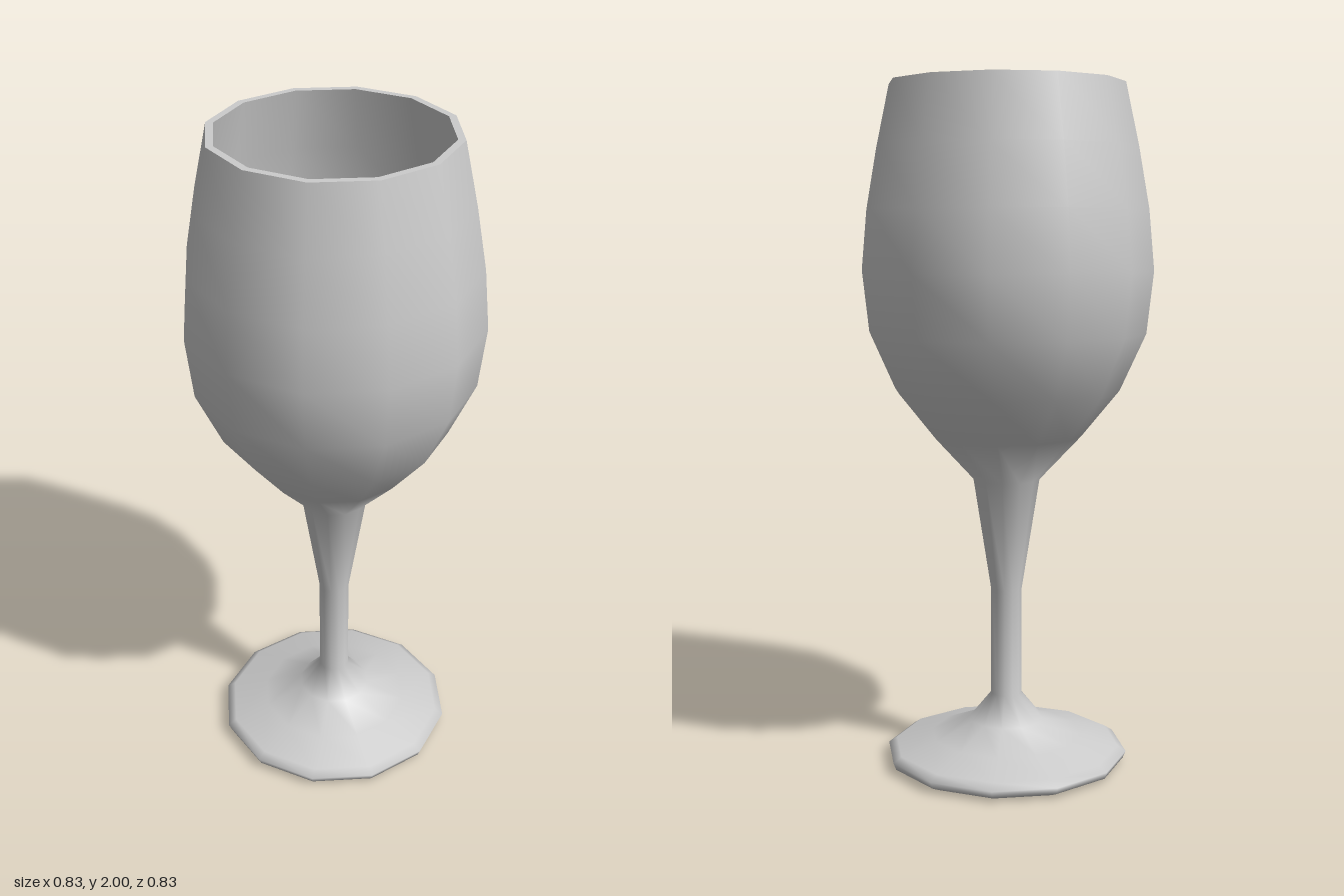
import * as THREE from 'three';

const SIDES = 12;
const TURN = THREE.MathUtils.degToRad(16.5); // the facets sit slightly turned
const material = new THREE.MeshStandardMaterial({ color: 0xcccccc });

// Each profile runs as [radius, height]; the face looks to the right of its direction.
function turned(name, profile) {
  const points = profile.map(([r, y]) => new THREE.Vector2(r, y));
  const mesh = new THREE.Mesh(new THREE.LatheGeometry(points, SIDES, TURN), material);
  mesh.name = name;
  return mesh;
}

export function createModel() {
  const glass = new THREE.Group();
  glass.name = 'wineGlass';

  // Flat underside of the foot
  glass.add(turned('footUnderside', [[0, 0.005], [0.325, 0.005]]));

  // Foot, stem and outer bowl in one smooth sweep
  glass.add(turned('footStemAndBowl', [
    [0.325, 0.005], [0.352, 0.018], [0.36, 0.038], [0.335, 0.055],
    [0.225, 0.085], [0.11, 0.132], [0.046, 0.21],
    [0.046, 0.53], [0.098, 0.86],
    [0.22, 0.99], [0.33, 1.125], [0.405, 1.29], [0.425, 1.47],
    [0.409, 1.645], [0.378, 1.82], [0.339, 2],
  ]));

  // Narrow flat lip
  glass.add(turned('rim', [[0.339, 2], [0.318, 2]]));

  // Inner wall of the bowl
  glass.add(turned('bowlInside', [
    [0.318, 2], [0.357, 1.82], [0.388, 1.645], [0.404, 1.47],
    [0.384, 1.295], [0.312, 1.14], [0.205, 1.01], [0.085, 0.905], [0, 0.88],
  ]));

  return glass;
}
